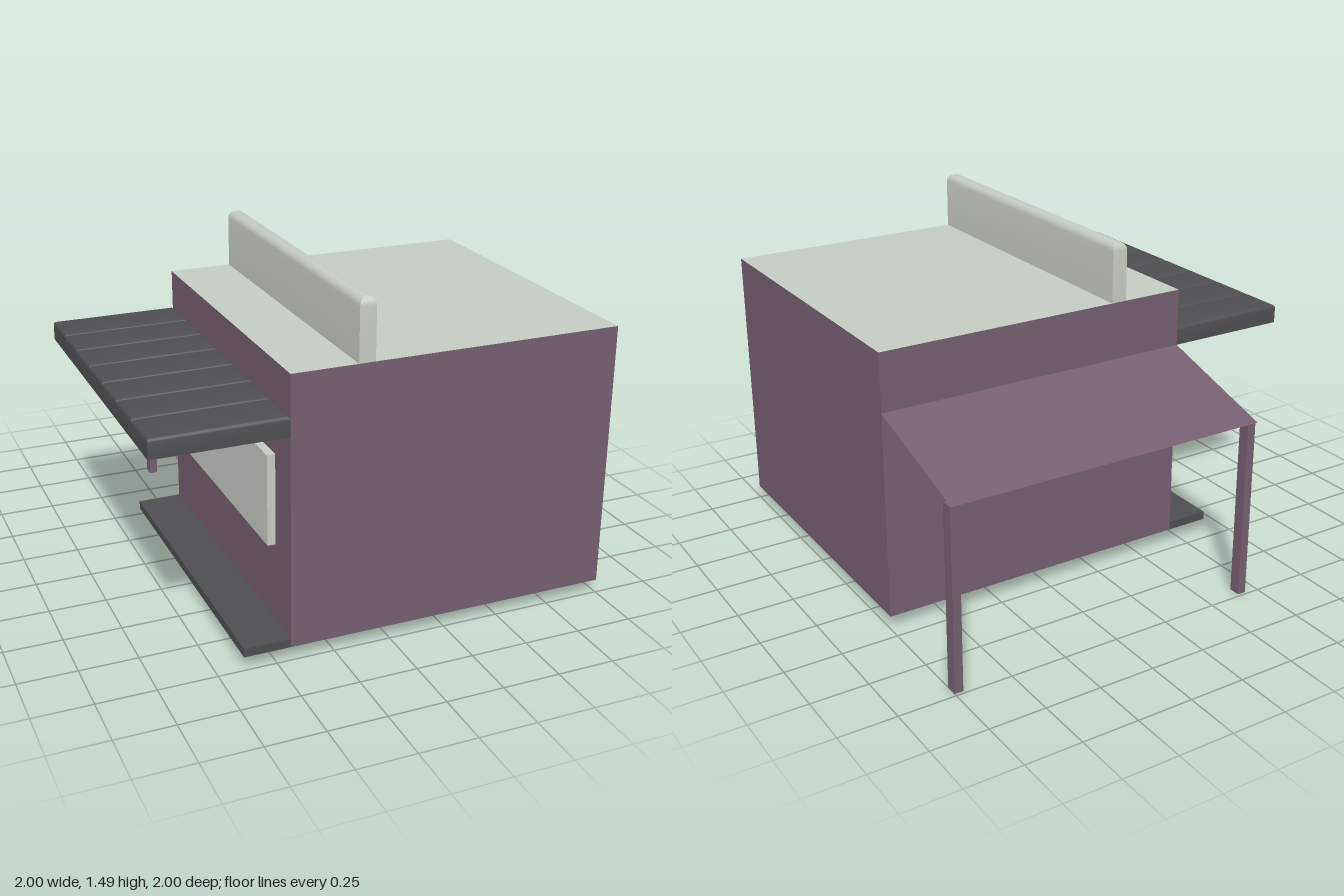
import * as THREE from 'three';
import { toCreasedNormals } from 'three/addons/utils/BufferGeometryUtils.js';

const paint = (name, color) => {
  const m = new THREE.MeshStandardMaterial({ color });
  m.name = name;
  return m;
};

// Box standing on y = 0 whose top edges are rounded with radius r
function roundedTopBox(w, h, d, r, segs) {
  const geo = new THREE.BoxGeometry(w, h, d, 1, segs + 1, 1);
  const p = geo.attributes.position;
  for (let i = 0; i < p.count; i++) {
    const row = Math.round((p.getY(i) / h + 0.5) * (segs + 1));
    if (row === 0) {
      p.setY(i, 0);
      continue;
    }
    const a = ((row - 1) / segs) * Math.PI / 2;
    const inset = r * (1 - Math.cos(a));
    p.setXYZ(i,
      Math.sign(p.getX(i)) * (w / 2 - inset),
      h - r + r * Math.sin(a),
      Math.sign(p.getZ(i)) * (d / 2 - inset));
  }
  return toCreasedNormals(geo, 0.6);
}

export function createModel() {
  const model = new THREE.Group();
  model.name = 'kiosk';
  const plum = paint('plum', 0x745f70);
  const pale = paint('paleGreen', 0xc4cbc2);
  const dark = paint('charcoal', 0x4e4e51);
  const canvas = plum.clone();
  canvas.name = 'plumCanvas';
  canvas.side = THREE.DoubleSide;

  const add = (name, geo, material, x = 0, y = 0, z = 0) => {
    const mesh = new THREE.Mesh(geo, material);
    mesh.name = name;
    mesh.position.set(x, y, z);
    model.add(mesh);
    return mesh;
  };
  // Box given by its limits on each axis
  const block = (name, material, x0, x1, y0, y1, z0, z1) =>
    add(name, new THREE.BoxGeometry(x1 - x0, y1 - y0, z1 - z0), material,
      (x0 + x1) / 2, (y0 + y1) / 2, (z0 + z1) / 2);

  // Main body with a pale roof face
  block('body', [plum, plum, pale, plum, plum, plum], -0.44, 1, 0.06, 1.23, -0.44, 1);

  // Rounded sign board along the roof
  add('roofBoard', roundedTopBox(0.07, 0.26, 1.44, 0.0345, 5), pale, -0.125, 1.23, 0.28);

  // Side canopy of seven planks
  const count = 7, pitch = 1.44 / count;
  const plank = roundedTopBox(0.56, 0.085, pitch, 0.016, 3);
  for (let i = 0; i < count; i++) {
    add('canopyPlank', plank, dark, -0.72, 0.975, -0.44 + pitch * (i + 0.5));
  }

  // Window panel and floor step below the canopy
  block('windowPanel', pale, -0.475, -0.44, 0.445, 0.84, -0.28, 0.84);
  block('step', dark, -0.64, -0.44, 0.06, 0.098, -0.44, 1);

  // Sloping cloth awning at the back
  const awning = new THREE.BufferGeometry();
  awning.setAttribute('position', new THREE.Float32BufferAttribute([
    -0.44, 0.975, -0.44, 1, 0.975, -0.44, 1, 0.81, -1, -0.44, 0.81, -1], 3));
  awning.setIndex([0, 1, 2, 0, 2, 3]);
  awning.computeVertexNormals();
  add('awning', awning, canvas);

  // Posts under the awning's outer edge
  for (const x of [-0.44, 0.962]) {
    block('awningPost', plum, x, x + 0.038, 0, 0.805, -0.987, -0.935);
  }
  return model;
}
